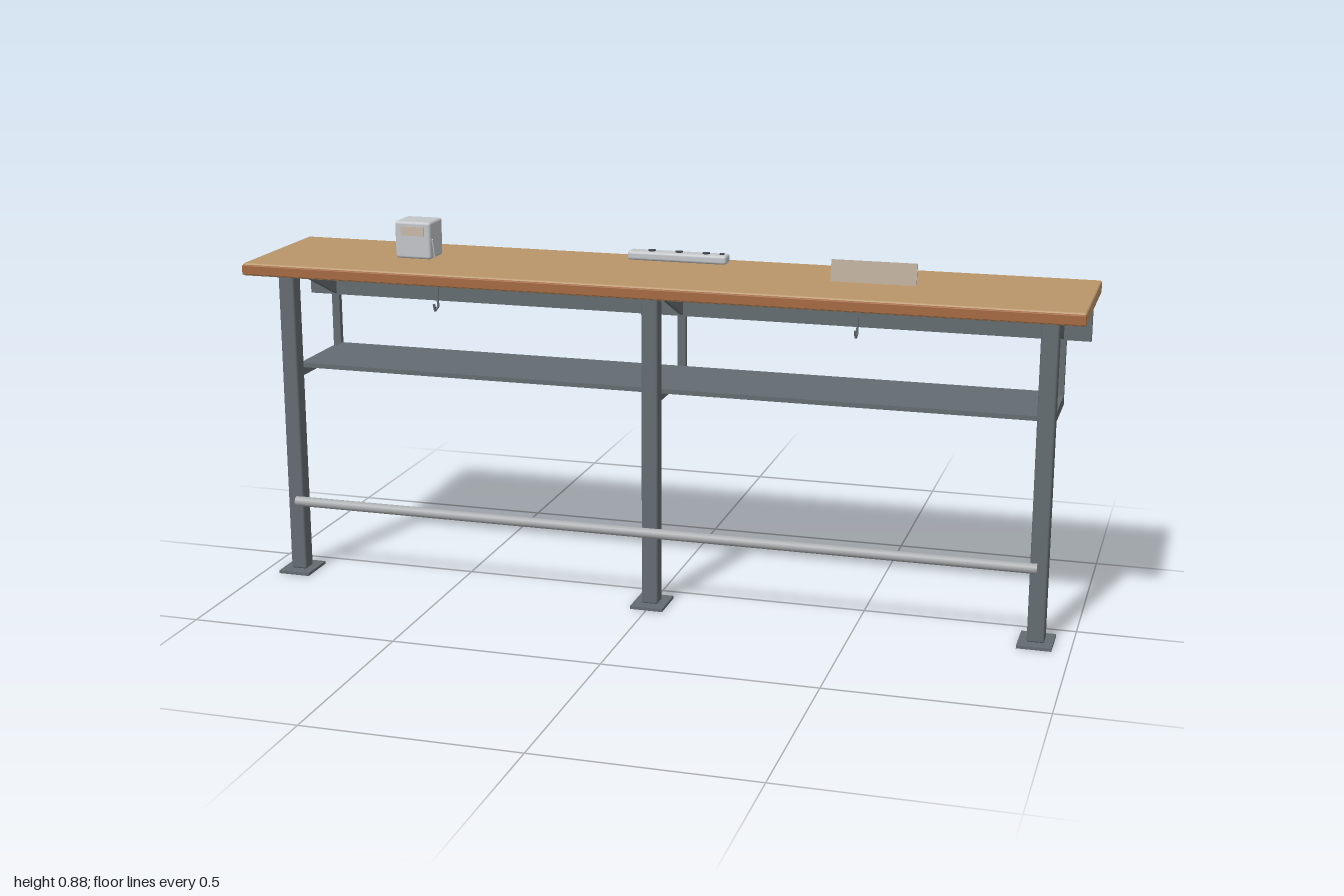
import * as THREE from 'three';
import { RoundedBoxGeometry } from 'three/addons/geometries/RoundedBoxGeometry.js';

const mat = (name, color, side = THREE.FrontSide) => {
  const m = new THREE.MeshStandardMaterial({ color, side });
  m.name = name;
  return m;
};

export function createModel() {
  const wood = mat('wood', 0xb9966b);
  const trim = mat('edge trim', 0xa56a42);
  const steel = mat('painted steel', 0x646c71);
  const bright = mat('bright steel', 0xa9acae);
  const plastic = mat('light plastic', 0xc3c6c9);
  const dark = mat('dark detail', 0x45494d);
  const acrylic = mat('sign panel', 0xb5a592);
  const label = mat('label', 0xc9b8a8);

  const root = new THREE.Group();
  root.name = 'bench';

  const add = (name, geo, material, x = 0, y = 0, z = 0, parent = root) => {
    const m = new THREE.Mesh(geo, material);
    m.name = name;
    m.position.set(x, y, z);
    parent.add(m);
    return m;
  };
  // Box from its minimum and maximum corners, optionally with rounded edges
  const span = (name, material, [x0, x1], [y0, y1], [z0, z1], r = 0, parent = root) => {
    const s = [x1 - x0, y1 - y0, z1 - z0];
    const geo = r ? new RoundedBoxGeometry(...s, 2, r) : new THREE.BoxGeometry(...s);
    return add(name, geo, material, (x0 + x1) / 2, (y0 + y1) / 2, (z0 + z1) / 2, parent);
  };

  // Worktop with a front nosing
  span('worktop', wood, [-1, 1], [0.762, 0.793], [-0.195, 0.174], 0.005);
  span('frontNosing', trim, [-1, 1], [0.766, 0.789], [0.17, 0.18], 0.002);

  // Rear apron and shelf
  span('rearApron', steel, [-0.985, 0.985], [0.653, 0.762], [-0.178, -0.163]);
  span('shelf', steel, [-0.9, 0.9], [0.519, 0.53], [-0.155, 0.076]);

  // Side outline of the gusset under the worktop, drawn in (-z, y)
  const gussetShape = new THREE.Shape();
  gussetShape.moveTo(-0.076, 0.762);
  gussetShape.lineTo(0.165, 0.655);
  gussetShape.lineTo(0.165, 0.762);
  gussetShape.closePath();

  // Three frames: leg, foot plate, gusset and shelf bracket
  for (const x of [-0.918, 0, 0.918]) {
    const frame = new THREE.Group();
    frame.name = 'frame';
    frame.position.x = x;
    root.add(frame);
    span('footPlate', steel, [-0.04, 0.04], [0, 0.007], [0.047, 0.145], 0, frame);
    span('leg', steel, [-0.02, 0.02], [0.006, 0.76], [0.075, 0.115], 0.005, frame);
    span('bracketArm', steel, [-0.01, 0.01], [0.494, 0.519], [-0.178, 0.078], 0, frame);
    span('bracketUpright', steel, [-0.01, 0.01], [0.51, 0.656], [-0.178, -0.163], 0, frame);
    const geo = new THREE.ExtrudeGeometry(gussetShape, { depth: 0.008, bevelEnabled: false });
    geo.translate(0, 0, -0.004).rotateY(Math.PI / 2);
    add('gusset', geo, steel, 0, 0, 0, frame);
  }

  // Foot rail
  const rail = new THREE.CylinderGeometry(0.012, 0.012, 1.83, 20).rotateZ(Math.PI / 2);
  add('footRail', rail, bright, 0, 0.185, 0.117);

  // Bent hooks below the front edge
  const hookPath = [[0.171, 0.76], [0.171, 0.716], [0.19, 0.71], [0.196, 0.726]];
  for (const x of [-0.5, 0.5]) {
    const hook = new THREE.Group();
    hook.name = 'hook';
    root.add(hook);
    for (let i = 0; i < 3; i++) {
      const [z0, y0] = hookPath[i], [z1, y1] = hookPath[i + 1];
      const length = Math.hypot(z1 - z0, y1 - y0) + 0.002;
      const part = add('hookSegment', new THREE.BoxGeometry(0.005, 0.003, length), steel,
        x, (y0 + y1) / 2, (z0 + z1) / 2, hook);
      part.rotation.x = -Math.atan2(y1 - y0, z1 - z0);
    }
  }

  // Small desktop box with a front label and a slanted side strip
  const unit = new THREE.Group();
  unit.name = 'desktopBox';
  root.add(unit);
  span('boxBody', plastic, [-0.672, -0.58], [0.793, 0.884], [-0.066, 0.014], 0.007, unit);
  span('boxLabel', label, [-0.655, -0.597], [0.85, 0.872], [0.013, 0.017], 0, unit);
  const strip = add('sideStrip', new THREE.BoxGeometry(0.004, 0.047, 0.004), plastic,
    -0.579, 0.819, -0.002, unit);
  strip.rotation.x = 0.26;

  // Outlet strip with three sockets and a switch
  const outlets = new THREE.Group();
  outlets.name = 'outletStrip';
  root.add(outlets);
  span('stripBody', plastic, [-0.125, 0.122], [0.793, 0.815], [-0.16, -0.12], 0.007, outlets);
  for (const x of [-0.068, 0, 0.068]) {
    add('socket', new THREE.CylinderGeometry(0.009, 0.009, 0.004, 16), dark, x, 0.816, -0.14, outlets);
  }
  add('switch', new THREE.BoxGeometry(0.01, 0.004, 0.01), dark, 0.107, 0.816, -0.14, outlets);

  // Slightly leaning sign panel
  const sign = add('signPanel', new THREE.BoxGeometry(0.2, 0.051, 0.004), acrylic, 0.5, 0.8185, -0.01);
  sign.rotation.x = -0.2;

  return root;
}
